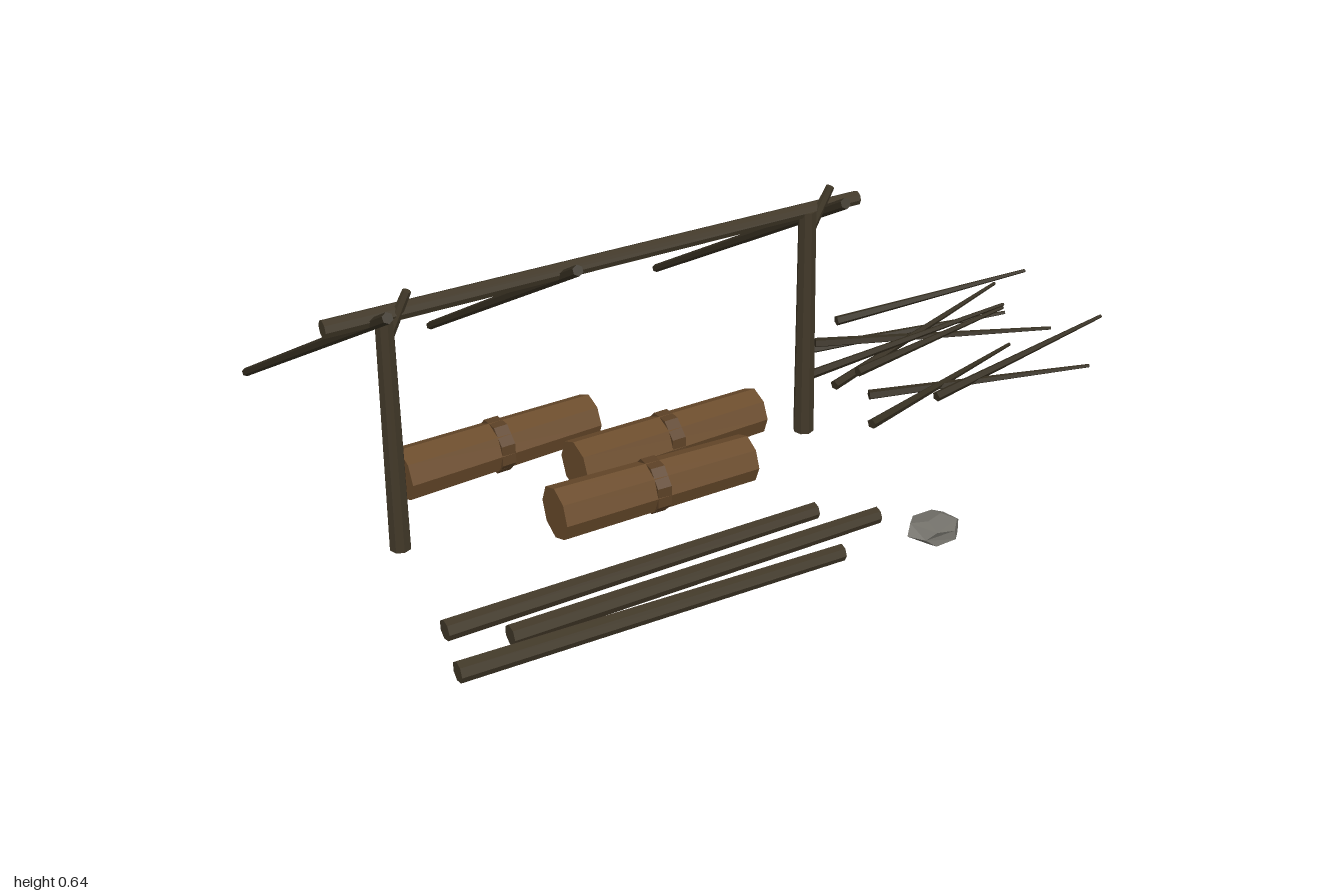
import * as THREE from 'three';

const paint = (name, color) => {
  const m = new THREE.MeshStandardMaterial({ color, flatShading: true });
  m.name = name;
  return m;
};

export function createModel() {
  const group = new THREE.Group();
  group.name = 'shelterCamp';
  const darkWood = paint('dark wood', 0x413828);
  const twigWood = paint('twig wood', 0x352e20);
  const logWood = paint('log brown', 0x6b4c2c);
  const bandWood = paint('log band brown', 0x5c4126);
  const stoneGrey = paint('stone grey', 0x73716a);

  // tapered round stick between two points
  const UP = new THREE.Vector3(0, 1, 0);
  const stick = (name, mat, a, b, r0, r1, sides, spin = 0) => {
    const from = new THREE.Vector3(...a), to = new THREE.Vector3(...b);
    const dir = to.clone().sub(from);
    const geo = new THREE.CylinderGeometry(r1, r0, dir.length(), sides);
    geo.rotateY(spin);
    const mesh = new THREE.Mesh(geo, mat);
    mesh.quaternion.setFromUnitVectors(UP, dir.normalize());
    mesh.position.copy(from).add(to).multiplyScalar(0.5);
    mesh.name = name;
    group.add(mesh);
    return mesh;
  };

  // forked posts carrying the ridge beam
  for (const x of [-0.864, 0.179]) {
    stick('post', darkWood, [x, 0, 0.09], [x, 0.585, 0.09], 0.025, 0.021, 8);
    stick('postFork', darkWood, [x + 0.005, 0.53, 0.09], [x + 0.05, 0.64, 0.106], 0.013, 0.01, 6);
  }
  stick('ridgeBeam', darkWood, [-1, 0.587, 0.087], [0.315, 0.584, 0.087], 0.021, 0.017, 8);

  // sloping rafters: top x, foot x
  for (const [top, foot] of [[-0.888, -0.918], [-0.449, -0.426], [0.226, 0.226]])
    stick('rafter', twigWood, [top, 0.628, 0.178], [foot, 0.042, -0.755], 0.013, 0.0105, 6);

  // stacked logs: x start, x end, z start, z end
  for (const [x0, x1, z0, z1] of [
    [-0.81, -0.325, -0.018, -0.042],
    [-0.455, 0.025, 0.142, 0.122],
    [-0.578, -0.095, 0.293, 0.296],
  ]) {
    stick('log', logWood, [x0, 0.115, z0], [x1, 0.115, z1], 0.063, 0.056, 8);
    const x = (x0 + x1) / 2, z = (z0 + z1) / 2, slope = (z1 - z0) / (x1 - x0);
    stick('logBand', bandWood, [x - 0.017, 0.115, z - 0.017 * slope],
      [x + 0.017, 0.115, z + 0.017 * slope], 0.064, 0.064, 8, Math.PI / 8);
  }

  // spare poles on the ground
  for (const [x0, x1, z0, z1] of [
    [-0.945, -0.045, 0.53, 0.514],
    [-0.835, 0.065, 0.612, 0.597],
    [-0.98, -0.08, 0.674, 0.684],
  ]) stick('sparePole', darkWood, [x0, 0.08, z0], [x1, 0.08, z1], 0.024, 0.019, 7);

  // scattered twigs: start point, end point
  for (const [a, b] of [
    [[0.445, 0.09, -0.195], [1, 0.107, -0.163]],
    [[0.29, 0.075, -0.13], [0.83, 0.1, -0.01]],
    [[0.285, 0.075, 0.057], [0.87, 0.125, -0.115]],
    [[0.33, 0.1, -0.108], [0.9, 0.085, 0.092]],
    [[0.19, 0.112, 0.043], [0.83, 0.12, -0.018]],
    [[0.35, 0.095, 0.058], [0.83, 0.11, -0.02]],
    [[0.225, 0.12, 0.317], [0.74, 0.105, 0.138]],
    [[0.305, 0.105, 0.18], [0.835, 0.115, 0.335]],
    [[0.435, 0.11, 0.272], [0.98, 0.143, 0.186]],
  ]) stick('twig', twigWood, a, b, 0.0125, 0.0045, 5);

  // squat faceted stone
  const rock = new THREE.DodecahedronGeometry(1, 0);
  const p = rock.attributes.position;
  for (let i = 0; i < p.count; i++) {
    const x = p.getX(i), y = p.getY(i), z = p.getZ(i);
    const k = 1 + 0.1 * Math.sin(3 * x + 5 * y + 2 * z);
    p.setXYZ(i, x * k, y * k, z * k);
  }
  rock.rotateY(0.4);
  rock.computeVertexNormals();
  const stone = new THREE.Mesh(rock, stoneGrey);
  stone.name = 'stone';
  stone.scale.set(0.068, 0.03, 0.056);
  stone.position.set(0.141, 0.085, 0.707);
  group.add(stone);

  return group;
}
